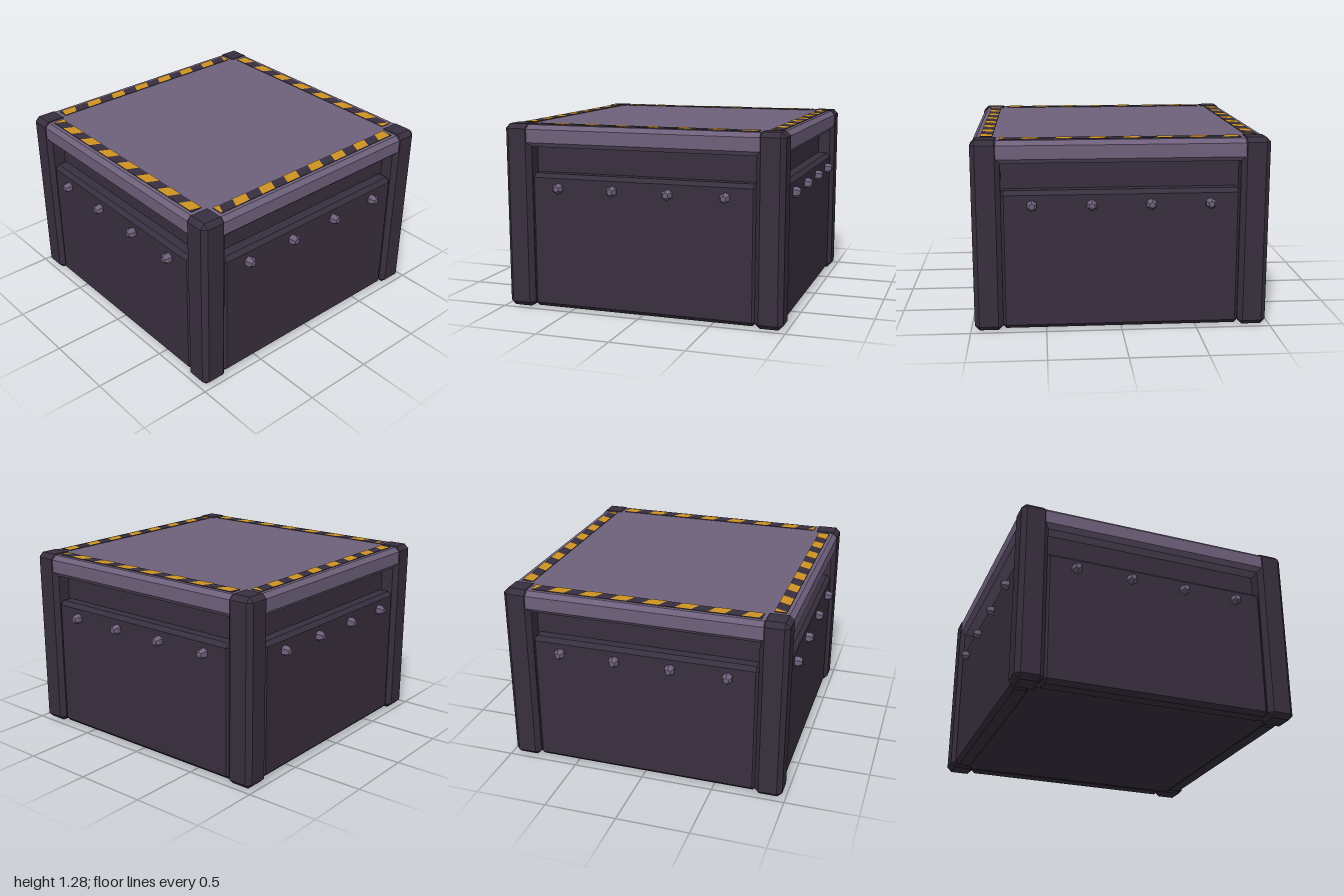
import * as THREE from 'three';
import { ConvexGeometry } from 'three/addons/geometries/ConvexGeometry.js';

const paint = (name, color) => {
  const m = new THREE.MeshStandardMaterial({ color });
  m.name = name;
  return m;
};

// Box with every edge cut at 45 degrees
function chamferBox(w, h, d, c) {
  const points = [];
  for (const sx of [-1, 1]) for (const sy of [-1, 1]) for (const sz of [-1, 1]) {
    const x = w / 2, y = h / 2, z = d / 2;
    points.push(
      new THREE.Vector3(sx * x, sy * (y - c), sz * (z - c)),
      new THREE.Vector3(sx * (x - c), sy * y, sz * (z - c)),
      new THREE.Vector3(sx * (x - c), sy * (y - c), sz * z));
  }
  return new ConvexGeometry(points);
}

export function createModel() {
  const dark = paint('dark metal', 0x382f3e);
  const light = paint('light metal', 0x6e607b);
  const yellow = paint('hazard yellow', 0xcf9423);

  const model = new THREE.Group();
  model.name = 'crate';
  const add = (parent, name, geometry, material, x, y, z) => {
    const mesh = new THREE.Mesh(geometry, material);
    mesh.name = name;
    mesh.position.set(x, y, z);
    parent.add(mesh);
    return mesh;
  };

  // Recessed core and the lid
  add(model, 'core', new THREE.BoxGeometry(1.71, 1.18, 1.71), dark, 0, 0.6, 0);
  add(model, 'lid', chamferBox(1.94, 0.15, 1.94, 0.03), light, 0, 1.195, 0);

  // Corner posts
  const postGeometry = chamferBox(0.19, 1.275, 0.19, 0.032);
  for (const sx of [-1, 1]) for (const sz of [-1, 1])
    add(model, 'cornerPost', postGeometry, dark, sx * 0.88, 0.6375, sz * 0.88);

  const panelGeometry = chamferBox(1.59, 0.935, 0.14, 0.028);

  // Six-sided bolt pointing along +z, with a bevelled head
  const boltGeometry = new THREE.LatheGeometry(
    [[0.036, 0], [0.036, 0.03], [0.02, 0.05], [0, 0.05]].map(p => new THREE.Vector2(...p)), 6)
    .rotateX(Math.PI / 2).toNonIndexed();
  boltGeometry.computeVertexNormals();

  // Slanted stripes, clipped to the ends of the strip
  const half = 0.785, depth = 0.08, pitch = 0.22, slant = 0.037;
  const stripeShapes = [];
  for (let i = -1; i < 7; i++) {
    const start = -0.665 + i * pitch, end = start + 0.11;
    const clip = x => Math.min(half, Math.max(-half, x));
    stripeShapes.push(new THREE.Shape([
      new THREE.Vector2(clip(start), 0), new THREE.Vector2(clip(end), 0),
      new THREE.Vector2(clip(end + slant), depth), new THREE.Vector2(clip(start + slant), depth)]));
  }
  const stripeGeometry = new THREE.ShapeGeometry(stripeShapes).rotateX(-Math.PI / 2);

  // The same side, four times round
  for (let i = 0; i < 4; i++) {
    const side = new THREE.Group();
    side.name = 'side';
    side.rotation.y = i * Math.PI / 2;
    model.add(side);

    add(side, 'panel', panelGeometry, dark, 0, 0.4725, 0.88);
    for (const x of [-0.585, -0.195, 0.195, 0.585])
      add(side, 'bolt', boltGeometry, light, x, 0.845, 0.95);

    add(side, 'hazardStrip', new THREE.BoxGeometry(half * 2, 0.006, depth), dark, 0, 1.271, 0.875);
    add(side, 'hazardStripes', stripeGeometry, yellow, 0, 1.276, 0.915);
  }
  return model;
}
